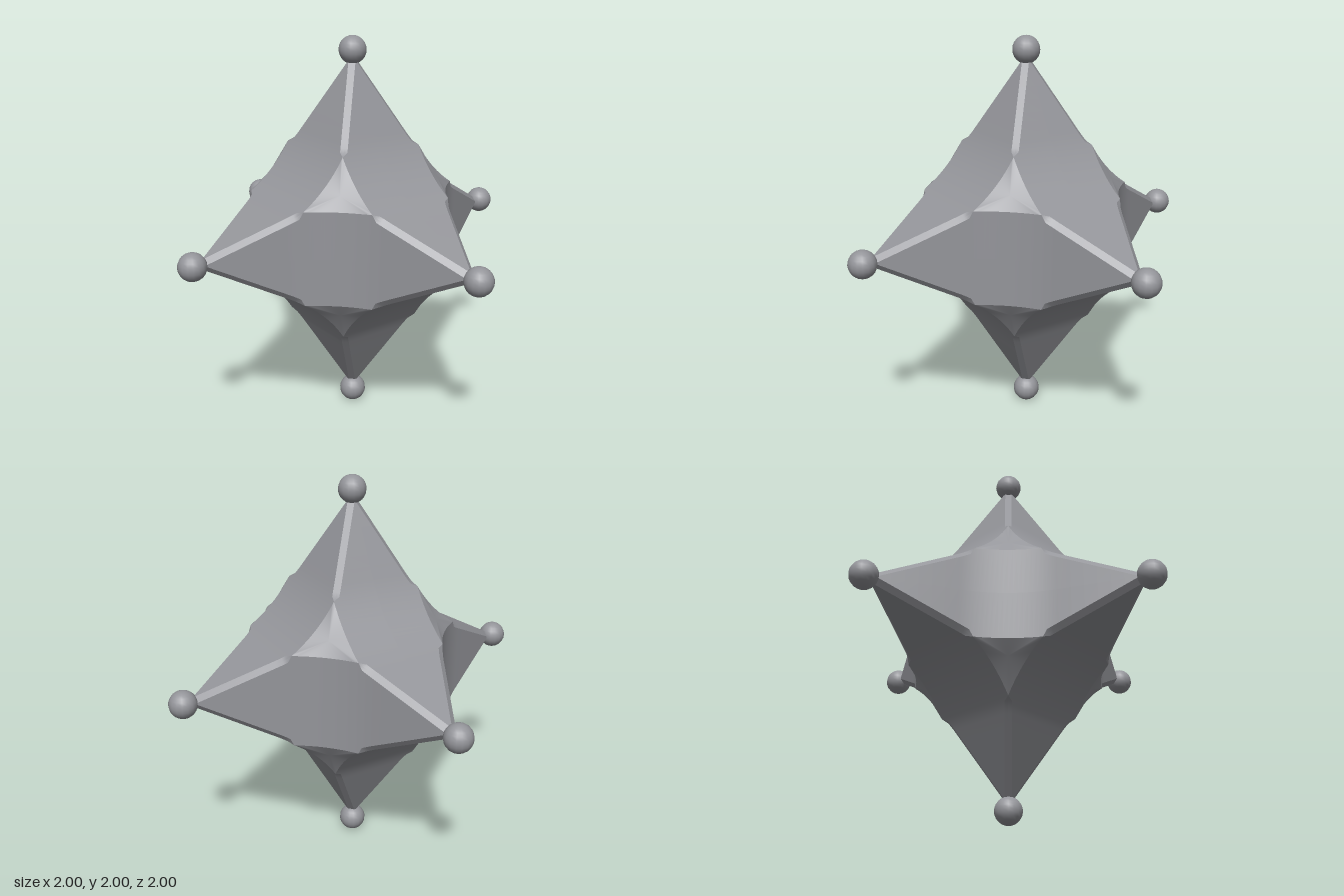
import * as THREE from 'three';
import { toCreasedNormals } from 'three/addons/utils/BufferGeometryUtils.js';

const R = 0.738, C = 0.86;            // concave arc joining two neighbouring points
const T0 = Math.atan2(0.33, 0.66);    // where the straight spike meets the arc
const T1 = Math.asin(0.395 / R);      // where the corner facet begins
const A = C - R * Math.cos(T1);       // half width of the sheet beside the facets
const GAP = 0.025;                    // bevel along the spike ridges
const STEPS = 14;                     // arc steps beside a facet

const arcPoint = t => [C - R * Math.cos(t), C - R * Math.sin(t)];
const facetArc = i => arcPoint(T1 + (Math.PI / 2 - 2 * T1) * i / STEPS);

// Profile from the top tip to the right tip, in the xy plane
function makeProfile() {
  const half = [];
  for (let i = 0; i < 6; i++) {
    const u = 0.028 + (0.2 - 0.028) * i / 6;
    half.push({ u, v: 0.93 - 2 * u, gap: GAP });
  }
  for (let i = 0; i < 4; i++) {
    const [u, v] = arcPoint(T0 + (T1 - T0) * i / 4);
    half.push({ u, v, gap: GAP });
  }
  const middle = [];
  for (let i = 0; i <= STEPS; i++) {
    const [u, v] = facetArc(i);
    middle.push({ u, v, gap: 0, w: A });
  }
  const mirrored = half.map(p => ({ ...p, u: p.v, v: p.u })).reverse();
  return [...half, ...middle, ...mirrored];
}

// Curved sheet between two points, with half of each ridge bevel on its borders
function sheetGeometry() {
  const rows = makeProfile().map(({ u, v, gap, w = Math.min(u, v) - gap }) => {
    const m = w + gap / 2;
    const bevel = s => gap === 0 ? [u, v, s * w] : u < v ? [m, v, s * m] : [u, m, s * m];
    return [bevel(1), [u, v, w], [u, v, 0], [u, v, -w], bevel(-1)];
  });
  const n = rows[0].length, index = [];
  for (let i = 0; i < rows.length - 1; i++) {
    for (let j = 0; j < n - 1; j++) {
      const a = i * n + j, b = a + n;
      index.push(a, b, b + 1, a, b + 1, a + 1);
    }
  }
  const g = new THREE.BufferGeometry();
  g.setAttribute('position', new THREE.Float32BufferAttribute(rows.flat(2), 3));
  g.setIndex(index);
  return toCreasedNormals(g, 0.45);
}

// Triangle filling one octant, its three sides following the sheets
function facetGeometry() {
  const centre = [0.305, 0.305, 0.305], points = [];
  const turns = [(x, y, z) => [x, y, z], (x, y, z) => [z, x, y], (x, y, z) => [y, z, x]];
  for (const turn of turns) {
    for (let i = 0; i < STEPS; i++) {
      points.push(centre, turn(...facetArc(i + 1), A), turn(...facetArc(i), A));
    }
  }
  const g = new THREE.BufferGeometry();
  g.setAttribute('position', new THREE.Float32BufferAttribute(points.flat(), 3));
  return toCreasedNormals(g, 0.6);
}

export function createModel() {
  const model = new THREE.Group();
  model.name = 'sixPointedStar';
  const star = new THREE.Group();
  star.name = 'starBody';
  star.position.y = 1;
  model.add(star);

  const material = new THREE.MeshStandardMaterial({ color: 0x94959a, side: THREE.DoubleSide });
  const add = (parent, geometry, name) => {
    const mesh = new THREE.Mesh(geometry, material);
    mesh.name = name;
    parent.add(mesh);
    return mesh;
  };

  // Three rings of four sheets, one ring per coordinate plane
  const sheet = sheetGeometry();
  [[0, 0], [Math.PI / 2, 0], [0, Math.PI / 2]].forEach(([rx, ry]) => {
    const ring = new THREE.Group();
    ring.name = 'sheetRing';
    ring.rotation.set(rx, ry, 0);
    star.add(ring);
    for (let k = 0; k < 4; k++) add(ring, sheet, 'curvedSheet').rotation.z = k * Math.PI / 2;
  });

  // Eight corner facets, upper four and lower four
  const facet = facetGeometry();
  for (const flip of [0, Math.PI]) {
    const set = new THREE.Group();
    set.name = flip ? 'lowerFacets' : 'upperFacets';
    set.rotation.z = flip;
    star.add(set);
    for (let k = 0; k < 4; k++) add(set, facet, 'cornerFacet').rotation.y = k * Math.PI / 2;
  }

  // Ball on each point
  const ball = new THREE.SphereGeometry(0.07, 16, 12);
  for (const axis of ['x', 'y', 'z']) {
    for (const s of [1, -1]) add(star, ball, 'tipBall').position[axis] = s * 0.93;
  }
  return model;
}
